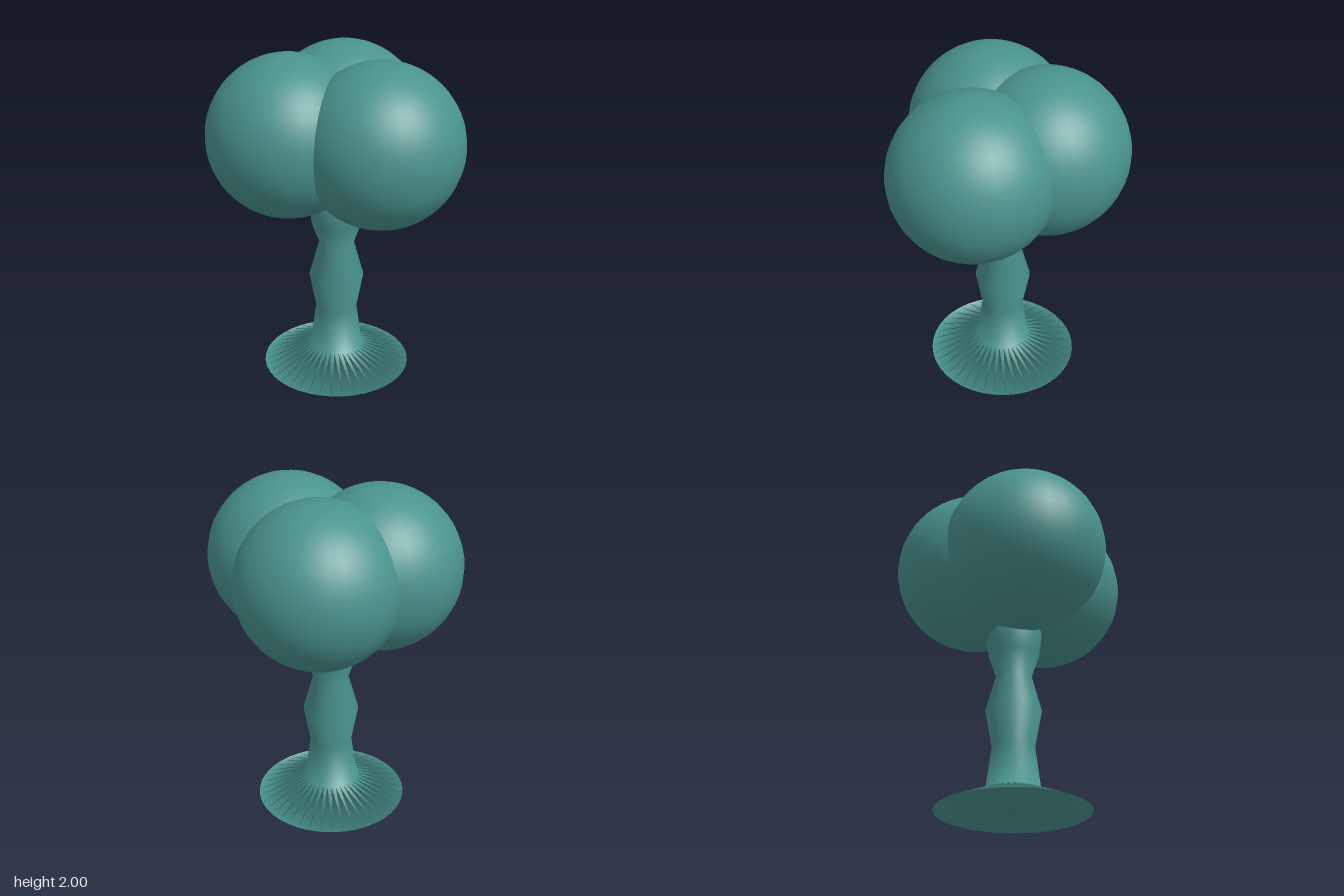
import * as THREE from 'three';

export function createModel() {
  const model = new THREE.Group();
  model.name = 'tree';
  const teal = new THREE.MeshStandardMaterial({ color: 0x4a938d });
  teal.name = 'teal';

  // Turned trunk with a flared, closed foot
  const profile = [
    [0, 0], [0.45, 0], [0.16, 0.12], [0.125, 0.38], [0.165, 0.6],
    [0.105, 0.82], [0.15, 0.95], [0.165, 1.08], [0.15, 1.2], [0, 1.25],
  ].map(([r, y]) => new THREE.Vector2(r, y));
  const trunk = new THREE.Mesh(new THREE.LatheGeometry(profile, 40), teal);
  trunk.name = 'trunk';
  trunk.position.set(0.06, 0, -0.043);
  model.add(trunk);

  // Three overlapping balls of foliage
  const ball = new THREE.SphereGeometry(0.48, 32, 24);
  const crowns = [
    ['crownRight', -0.213, -0.113],
    ['crownBack', 0.193, -0.24],
    ['crownFront', 0.212, 0.24],
  ];
  for (const [name, x, z] of crowns) {
    const crown = new THREE.Mesh(ball, teal);
    crown.name = name;
    crown.position.set(x, 1.52, z);
    model.add(crown);
  }
  return model;
}
